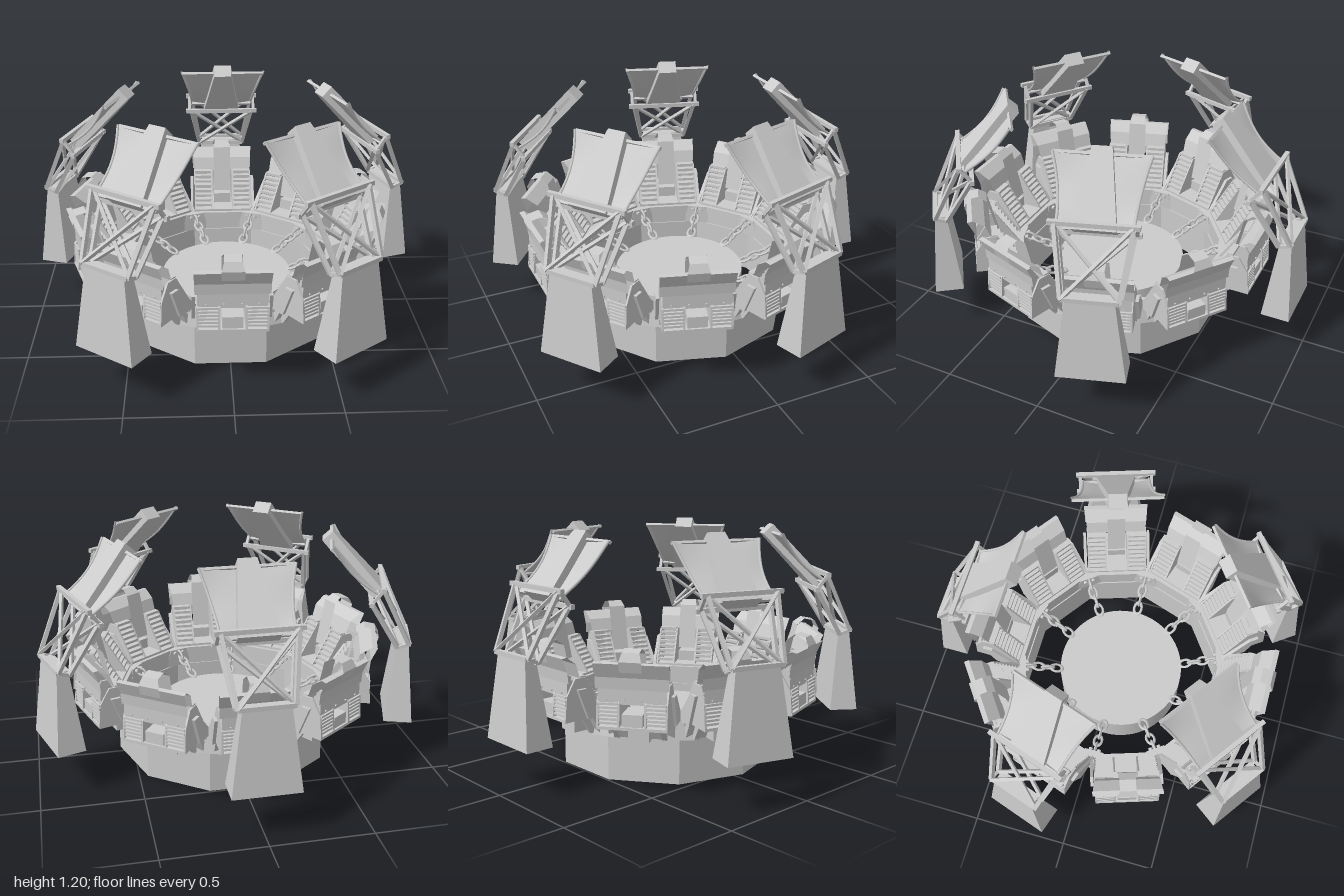
import * as THREE from 'three';

const grey = new THREE.MeshStandardMaterial({ color: 0xcccccc, flatShading: true });
const smooth = new THREE.MeshStandardMaterial({ color: 0xcccccc });
const thin = new THREE.MeshStandardMaterial({ color: 0xcccccc, side: THREE.DoubleSide });
const thinFlat = new THREE.MeshStandardMaterial({ color: 0xcccccc, side: THREE.DoubleSide, flatShading: true });
const V = (x, y, z) => new THREE.Vector3(x, y, z);

function add(parent, name, geometry, material = grey) {
  const mesh = new THREE.Mesh(geometry, material);
  mesh.name = name;
  parent.add(mesh);
  return mesh;
}

// Box given by its limits
function box(parent, name, x0, x1, y0, y1, z0, z1) {
  const m = add(parent, name, new THREE.BoxGeometry(x1 - x0, y1 - y0, z1 - z0));
  m.position.set((x0 + x1) / 2, (y0 + y1) / 2, (z0 + z1) / 2);
  return m;
}

// Box whose lower and upper ends have their own half width and z limits
function taper(parent, name, y0, y1, low, high) {
  const g = new THREE.BoxGeometry(2, 1, 1);
  const p = g.attributes.position;
  for (let i = 0; i < p.count; i++) {
    const up = p.getY(i) > 0;
    const [hw, z0, z1] = up ? high : low;
    p.setXYZ(i, p.getX(i) * hw, up ? y1 : y0, p.getZ(i) > 0 ? z1 : z0);
  }
  g.computeVertexNormals();
  return add(parent, name, g);
}

// Side profile of [z, y] points extruded across x
function prism(parent, name, points, x0, x1) {
  const shape = new THREE.Shape(points.map(([z, y]) => new THREE.Vector2(-z, y)));
  const g = new THREE.ExtrudeGeometry(shape, { depth: x1 - x0, bevelEnabled: false });
  g.rotateY(Math.PI / 2).translate(x0, 0, 0);
  return add(parent, name, g);
}

// Bent sheet following [z, y, halfWidth] points
function sheet(parent, name, points) {
  const g = new THREE.PlaneGeometry(2, 1, 1, points.length - 1);
  const p = g.attributes.position;
  for (let i = 0; i < p.count; i++) {
    const [z, y, hw] = points[Math.floor(i / 2)];
    p.setXYZ(i, p.getX(i) * hw, y, z);
  }
  g.computeVertexNormals();
  return add(parent, name, g, thinFlat);
}

// Square beam between two points
function beam(parent, name, a, b, w = 0.016) {
  const m = add(parent, name, new THREE.BoxGeometry(w, w, a.distanceTo(b)));
  m.position.copy(a).add(b).multiplyScalar(0.5);
  m.quaternion.setFromUnitVectors(V(0, 0, 1), b.clone().sub(a).normalize());
  return m;
}

// Curved sail-like plate, wider towards the top
const plateWidth = (v) => 0.172 + 0.053 * v * v;
const plateSag = (v) => 0.02 - 0.025 * Math.sin(Math.PI * v);

function plateGeometry(length) {
  const g = new THREE.PlaneGeometry(2, 1, 14, 10);
  const p = g.attributes.position;
  for (let i = 0; i < p.count; i++) {
    const u = p.getX(i), v = p.getY(i) + 0.5;
    p.setXYZ(i, u * plateWidth(v), v * length, plateSag(v) * u * u);
  }
  g.computeVertexNormals();
  return g;
}

function plateEdge(side, length) {
  const pts = [];
  for (let i = 0; i <= 8; i++) pts.push(V(side * plateWidth(i / 8), (i / 8) * length, plateSag(i / 8)));
  return new THREE.TubeGeometry(new THREE.CatmullRomCurve3(pts), 12, 0.007, 6);
}

function tower() {
  const g = new THREE.Group();
  g.name = 'tower';
  taper(g, 'pylon', 0.23, 0.645, [0.165, 0.855, 0.998], [0.112, 0.9, 0.957]);
  // Two leaning lattice frames
  const frames = [
    [[0.65, 0.955, 0.13], [0.95, 0.81, 0.195]],
    [[0.63, 0.9, 0.13], [0.875, 0.755, 0.195]],
  ];
  for (const [[y0, z0, w0], [y1, z1, w1]] of frames) {
    beam(g, 'lowerRail', V(-w0, y0, z0), V(w0, y0, z0), 0.022);
    beam(g, 'upperRail', V(-w1 - 0.01, y1, z1), V(w1 + 0.01, y1, z1), 0.022);
    for (const s of [-1, 1]) {
      beam(g, 'sideStrut', V(s * w0, y0, z0), V(s * (w1 - 0.02), y1, z1), 0.02);
      beam(g, 'diagonal', V(-s * w0, y0, z0 + s * 0.006), V(s * (w1 - 0.02), y1, z1 + s * 0.006));
    }
  }
  for (const s of [-1, 1]) {
    beam(g, 'lowerTie', V(s * 0.13, 0.65, 0.955), V(s * 0.13, 0.63, 0.9));
    beam(g, 'upperTie', V(s * 0.185, 0.95, 0.81), V(s * 0.185, 0.875, 0.755));
  }
  // Reflector leaning over the middle
  const panel = new THREE.Group();
  panel.name = 'panel';
  panel.position.set(0, 0.905, 0.78);
  panel.rotation.x = -0.766;
  const L = 0.34;
  add(panel, 'plate', plateGeometry(L), thin);
  for (const s of [-1, 1]) add(panel, 'plateEdge', plateEdge(s, L), thin);
  beam(panel, 'plateTop', V(-0.225, L, 0.008), V(0.225, L, 0.008), 0.014);
  beam(panel, 'plateFoot', V(-0.172, 0, 0.01), V(0.172, 0, 0.01), 0.018);
  taper(panel, 'rib', -0.01, L + 0.03, [0.1, -0.03, 0.035], [0.046, -0.03, 0.04]);
  g.add(panel);
  return g;
}

function station() {
  const g = new THREE.Group();
  g.name = 'station';
  // Bracket carrying the station outside the ring
  prism(g, 'support', [[0.52, 0.23], [0.57, 0.23], [0.62, 0.33], [0.52, 0.33]], -0.16, 0.16);
  box(g, 'supportBlock', -0.05, 0.05, 0.23, 0.33, 0.55, 0.645);
  for (const s of [-1, 1]) {
    const x = s * 0.115;
    prism(g, 'supportRib', [[0.53, 0.235], [0.6, 0.235], [0.66, 0.33], [0.53, 0.33]], x - 0.012, x + 0.012);
  }
  box(g, 'floor', -0.165, 0.165, 0.328, 0.342, 0.54, 0.78);
  for (const s of [-1, 1]) {
    // Side cheeks with slats between them
    for (const x of [0.062, 0.16]) {
      prism(g, 'cheek', [[0.54, 0.34], [0.78, 0.34], [0.77, 0.45], [0.72, 0.53], [0.66, 0.53]], s * x - 0.005, s * x + 0.005);
    }
    const x0 = Math.min(s * 0.065, s * 0.16), x1 = x0 + 0.095;
    for (let i = 0; i < 6; i++) {
      const y = 0.352 + i * 0.018;
      box(g, 'outerSlat', x0, x1, y, y + 0.011, 0.75, 0.775);
    }
    for (let i = 0; i < 8; i++) {
      const y = 0.355 + i * 0.024, z = 0.555 + i * 0.0145;
      box(g, 'innerSlat', x0, x1, y, y + 0.014, z, z + 0.03);
    }
    // Sloped wing beside the station
    prism(g, 'wing', [[0.53, 0.33], [0.66, 0.33], [0.72, 0.48], [0.67, 0.48]], s * 0.178 - 0.008, s * 0.178 + 0.008);
  }
  box(g, 'post', -0.048, 0.048, 0.34, 0.4, 0.64, 0.77);
  // Thin outer panel and flared parapet
  sheet(g, 'panel', [[0.765, 0.445, 0.16], [0.765, 0.515, 0.16], [0.765, 0.515, 0.172],
    [0.77, 0.57, 0.172], [0.8, 0.638, 0.175], [0.775, 0.642, 0.175]]);
  sheet(g, 'innerPanel', [[0.69, 0.53, 0.16], [0.715, 0.6, 0.165], [0.775, 0.642, 0.172]]);
  for (const x of [-0.12, -0.04, 0.04, 0.12]) {
    const rivet = add(g, 'rivet', new THREE.CylinderGeometry(0.005, 0.005, 0.008, 8));
    rivet.rotation.x = Math.PI / 2;
    rivet.position.set(x, 0.465, 0.768);
  }
  // Bent console strip rising on the inside and folding over the top
  sheet(g, 'console', [[0.64, 0.42, 0.048], [0.695, 0.67, 0.048], [0.735, 0.7, 0.04],
    [0.79, 0.69, 0.04], [0.81, 0.65, 0.052], [0.795, 0.6, 0.052]]);
  return g;
}

// Sloping chain with its anchor at a corner of the ring
function chain() {
  const g = new THREE.Group();
  g.name = 'chain';
  taper(g, 'anchor', 0.23, 0.33, [0.08, 0.525, 0.6], [0.05, 0.525, 0.58]);
  for (const s of [-1, 1]) {
    const bolt = add(g, 'bolt', new THREE.CylinderGeometry(0.011, 0.011, 0.09, 10));
    bolt.rotation.x = Math.PI / 2;
    bolt.position.set(s * 0.023, 0.31, 0.555);
  }
  const a = V(0, 0.235, 0.335), b = V(0, 0.31, 0.53), n = 4;
  for (let i = 0; i < n; i++) {
    const link = add(g, 'link', new THREE.TorusGeometry(0.021, 0.007, 6, 14), smooth);
    link.geometry.scale(1, 1.55, 1);
    link.geometry.rotateY(i % 2 ? Math.PI / 2 : 0);
    link.geometry.rotateX(Math.PI / 2 - Math.atan2(b.y - a.y, b.z - a.z));
    link.geometry.computeVertexNormals();
    link.position.lerpVectors(a, b, (i + 0.5) / n);
  }
  return g;
}

export function createModel() {
  const model = new THREE.Group();
  model.name = 'arena';
  const ring = new THREE.Group();
  ring.position.z = 0.046;
  model.add(ring);

  // Ten-sided wall, open inside
  const corners = (r, turn) => Array.from({ length: 10 }, (_, i) => {
    const a = (turn * (18 + 36 * i) * Math.PI) / 180;
    return new THREE.Vector2(r * Math.sin(a), r * Math.cos(a));
  });
  const wall = new THREE.Shape(corners(0.565, -1));
  wall.holes.push(new THREE.Path(corners(0.54, 1)));
  const wallGeo = new THREE.ExtrudeGeometry(wall, { depth: 0.23, bevelEnabled: false });
  add(ring, 'ringWall', wallGeo.rotateX(-Math.PI / 2));

  // Round stage in the middle
  const stage = add(ring, 'stage', new THREE.CylinderGeometry(0.338, 0.338, 0.23, 64), smooth);
  stage.position.y = 0.115;

  // A station and a chain on every side, a tower behind every second station
  for (let i = 0; i < 10; i++) {
    const a = (i * Math.PI) / 5;
    const parts = i % 2 ? [station(), tower()] : [station()];
    for (const part of parts) {
      part.rotation.y = a;
      ring.add(part);
    }
    const c = chain();
    c.rotation.y = a + Math.PI / 10;
    ring.add(c);
  }
  return model;
}
